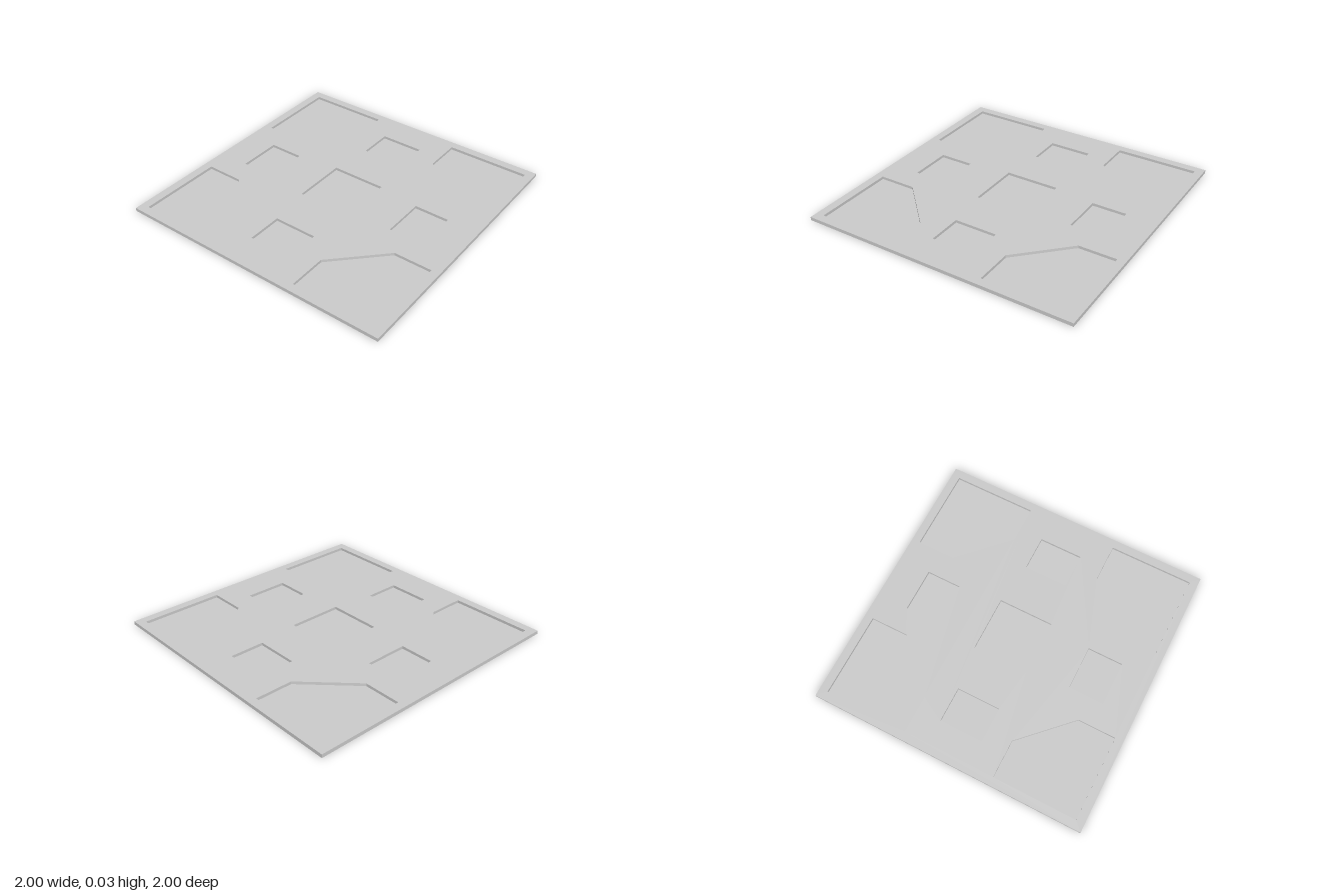
import * as THREE from 'three';

const HEIGHT = 0.025; // full thickness of the board
const FLOOR = 0.005; // thickness left under the recesses

// Closed outline from [x, z] points
const outline = (points) => points.map(([x, z]) => new THREE.Vector2(x, z));
const rect = (x, z, w, d) => outline([
  [x - w / 2, z - d / 2], [x + w / 2, z - d / 2],
  [x + w / 2, z + d / 2], [x - w / 2, z + d / 2],
]);

export function createModel() {
  const group = new THREE.Group();
  group.name = 'recessedBoard';
  const material = new THREE.MeshStandardMaterial({ color: 0xcccccc, flatShading: true });

  // Centre recess
  const recesses = [rect(0, 0, 0.4, 0.4)];

  // Rectangular recesses midway along each side
  for (const s of [-1, 1]) {
    recesses.push(rect(s * 0.638, 0, 0.253, 0.316));
    recesses.push(rect(0, s * 0.638, 0.316, 0.253));
  }

  // Corner recesses, cut diagonally towards the centre
  const corner = [[0.94, 0.94], [0.335, 0.94], [0.335, 0.667], [0.667, 0.335], [0.94, 0.335]];
  for (const sx of [-1, 1]) {
    for (const sz of [-1, 1]) {
      recesses.push(outline(corner.map(([x, z]) => [sx * x, sz * z])));
    }
  }

  // Upper layer pierced by all the recesses
  const shape = new THREE.Shape(rect(0, 0, 2, 2));
  shape.holes = recesses.map((points) => new THREE.Path(points));
  const frameGeometry = new THREE.ExtrudeGeometry(shape, { depth: HEIGHT - FLOOR, bevelEnabled: false });
  frameGeometry.rotateX(-Math.PI / 2);
  const frame = new THREE.Mesh(frameGeometry, material);
  frame.name = 'topFrame';
  frame.position.y = FLOOR;
  group.add(frame);

  // Solid base that closes the recesses
  const base = new THREE.Mesh(new THREE.BoxGeometry(2, FLOOR, 2), material);
  base.name = 'basePlate';
  base.position.y = FLOOR / 2;
  group.add(base);

  return group;
}
